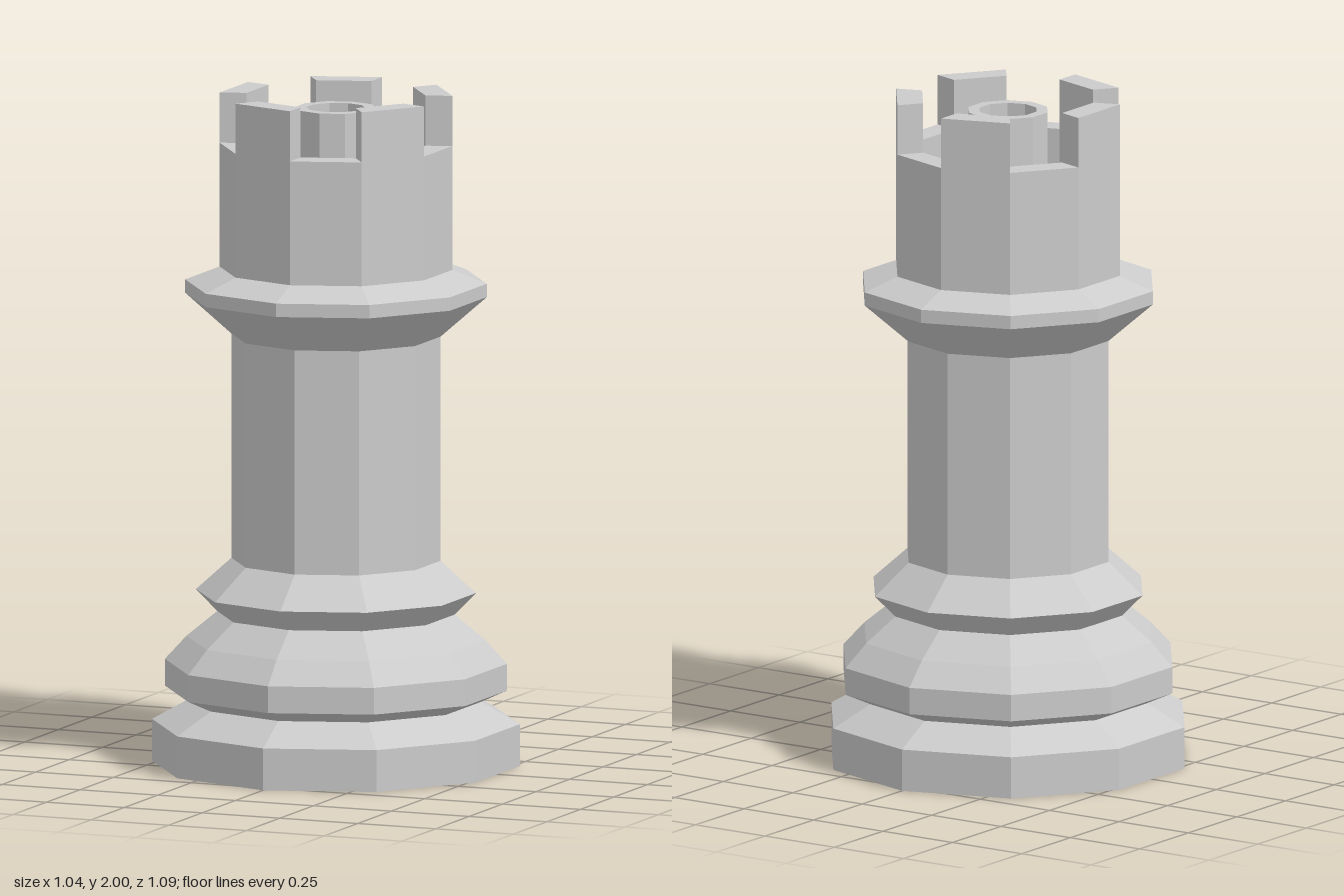
import * as THREE from 'three';

const SIDES = 10;
const STEP = (Math.PI * 2) / SIDES;

export function createModel() {
  const group = new THREE.Group();
  const material = new THREE.MeshStandardMaterial({ color: 0xcccccc, flatShading: true });

  function add(name, geometry, parent = group) {
    const mesh = new THREE.Mesh(geometry, material);
    mesh.name = name;
    parent.add(mesh);
    return mesh;
  }

  // Ten-sided turned part from [radius, height] pairs
  function turned(profile) {
    return new THREE.LatheGeometry(profile.map(([r, y]) => new THREE.Vector2(r, y)), SIDES);
  }

  const outer = 0.345, inner = 0.265;
  const wallTop = 1.85, top = 2, floor = 1.7;

  // Stepped base with lower ring, dome and upper ring
  add('base', turned([
    [0, 0], [0.545, 0], [0.545, 0.125], [0.43, 0.19],
    [0.507, 0.225], [0.507, 0.305], [0.443, 0.375], [0.352, 0.45],
    [0.415, 0.515], [0.31, 0.61],
  ]));

  // Straight column
  add('column', turned([[0.31, 0.61], [0.31, 1.28]]));

  // Flared collar under the turret
  add('collar', turned([[0.31, 1.28], [0.447, 1.4], [0.447, 1.44], [outer, 1.48]]));

  // Hollow turret wall with a sunken floor
  add('turret', turned([
    [outer, 1.48], [outer, wallTop], [inner, wallTop], [inner, floor], [0, floor],
  ]));

  // Battlements on every second side
  const battlements = new THREE.Group();
  battlements.name = 'battlements';
  group.add(battlements);
  const corner = (r, a) => new THREE.Vector2(r * Math.sin(a), -r * Math.cos(a));
  for (let k = 1; k < SIDES; k += 2) {
    const a = k * STEP, b = a + STEP;
    const shape = new THREE.Shape([corner(outer, a), corner(outer, b), corner(inner, b), corner(inner, a)]);
    const geometry = new THREE.ExtrudeGeometry(shape, { depth: top - wallTop, bevelEnabled: false });
    geometry.rotateX(-Math.PI / 2);
    add('battlement', geometry, battlements).position.y = wallTop;
  }

  // Central post with a shallow recess in its top
  add('centrePost', turned([
    [0.122, floor], [0.122, 1.96], [0.088, 1.96], [0.088, 1.92], [0, 1.92],
  ]));

  return group;
}
